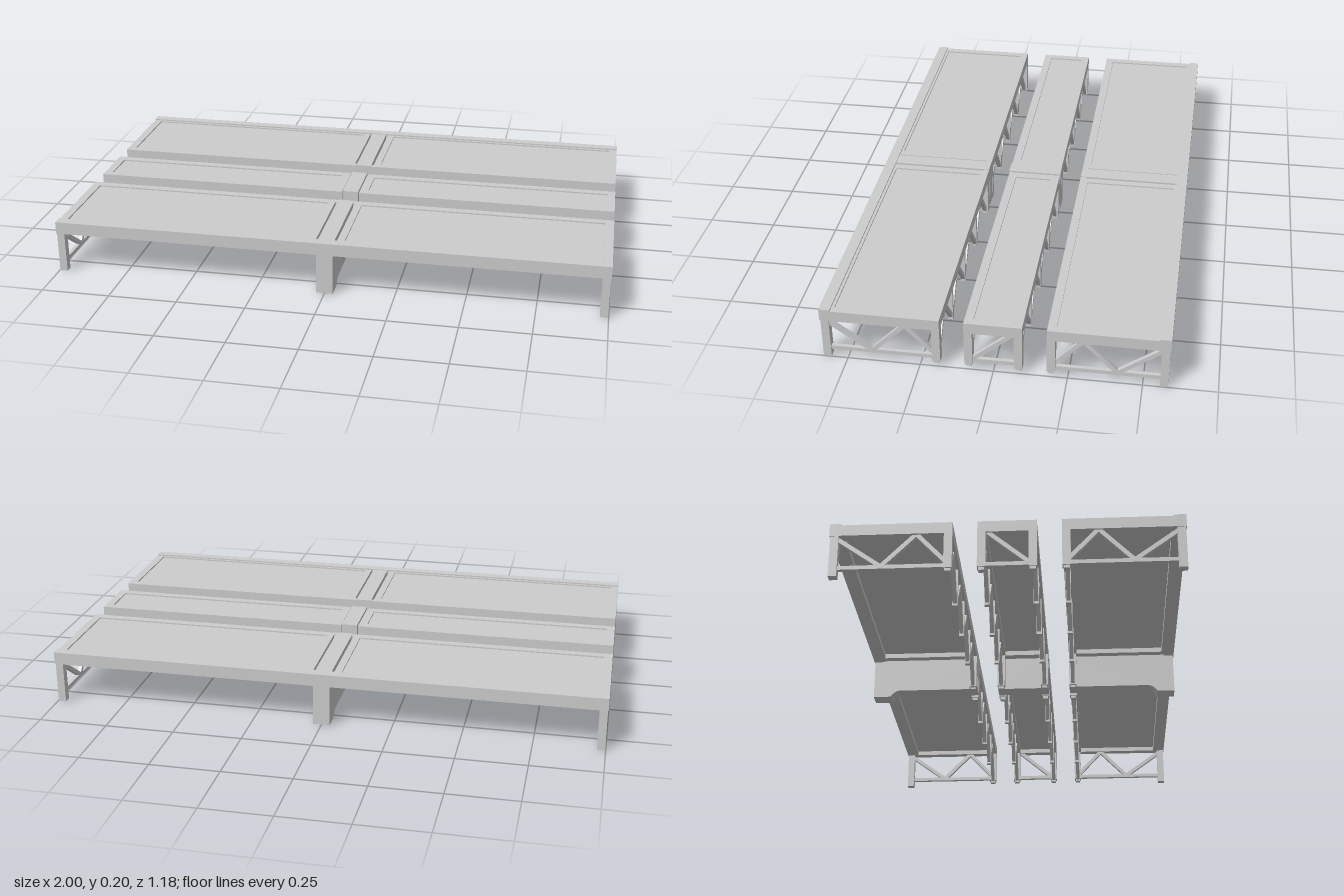
import * as THREE from 'three';

const concrete = new THREE.MeshStandardMaterial({ color: 0xcccccc });
concrete.name = 'pale grey concrete';

// Box given by its minimum and maximum on each axis
function box(parent, name, x0, x1, y0, y1, z0, z1) {
  const g = new THREE.BoxGeometry(Math.abs(x1 - x0), y1 - y0, Math.abs(z1 - z0));
  const m = new THREE.Mesh(g, concrete);
  m.position.set((x0 + x1) / 2, (y0 + y1) / 2, (z0 + z1) / 2);
  m.name = name;
  parent.add(m);
}

// Square bar between two points
function bar(parent, name, a, b, size) {
  const p = new THREE.Vector3(...a), q = new THREE.Vector3(...b);
  const m = new THREE.Mesh(new THREE.BoxGeometry(size, size, p.distanceTo(q)), concrete);
  m.position.copy(p).add(q).multiplyScalar(0.5);
  m.lookAt(q);
  m.name = name;
  parent.add(m);
}

// Zigzag truss along x under one deck edge
function longTruss(parent, z, s) {
  const nodes = [0.975, 0.745, 0.515, 0.285, 0.055];
  nodes.forEach((x, i) => {
    if (i > 0 && i < 4) box(parent, 'trussUpright', s * (x - 0.008), s * (x + 0.008), 0.01, 0.155, z - 0.009, z + 0.009);
    if (i === 4) return;
    const top = x - 0.115;
    bar(parent, 'trussDiagonal', [s * x, 0.02, z], [s * top, 0.157, z], 0.014);
    bar(parent, 'trussDiagonal', [s * top, 0.157, z], [s * nodes[i + 1], 0.02, z], 0.014);
  });
}

// Post with a small foot
function post(parent, s, x, z) {
  box(parent, 'post', s * (x - 0.015), s * (x + 0.015), 0.02, 0.155, z - 0.014, z + 0.014);
  box(parent, 'postFoot', s * (x - 0.01), s * (x + 0.01), 0.01, 0.02, z - 0.01, z + 0.01);
}

// Truss along z closing the end of a deck; path holds [z, y] pairs
function endTruss(parent, x, path) {
  for (let i = 1; i < path.length; i++) {
    bar(parent, 'endDiagonal', [x, path[i - 1][1], path[i - 1][0]], [x, path[i][1], path[i][0]], 0.015);
  }
  const z0 = path[0][0], z1 = path[path.length - 1][0];
  box(parent, 'endBottomChord', x - 0.007, x + 0.007, 0.026, 0.04, z0, z1);
}

// Half deck: recessed slab inside raised edge beams
function halfDeck(parent, s, gap, z0, z1, outerWidth) {
  const inner = 0.03;
  box(parent, 'deckSlab', s * 0.06, s * 0.975, 0.168, 0.185, z0 + 0.01, z1 - 0.01);
  box(parent, 'endBeam', s * 0.97, s * 1, 0.15, 0.19, z0, z1);
  box(parent, 'jointBeam', s * gap, s * 0.065, 0.15, 0.19, z0, z1);
  box(parent, 'innerEdgeBeam', s * 0.065, s * 0.97, 0.15, 0.19, z0, z0 + inner);
  box(parent, 'outerEdgeBeam', s * 0.065, s * 0.97, 0.15, 0.19, z1 - outerWidth, z1);
}

// Outer deck built at +z and turned round for the back
function outerDeck(name) {
  const g = new THREE.Group();
  g.name = name;
  for (const s of [-1, 1]) {
    halfDeck(g, s, 0.038, 0.18, 0.56, 0.02);
    longTruss(g, 0.194, s);
    post(g, s, 0.985, 0.194);
    post(g, s, 0.052, 0.194);
    box(g, 'cornerLeg', s * 0.97, s * 0.998, 0, 0.155, 0.557, 0.585);
    endTruss(g, s * 0.985, [[0.56, 0.14], [0.415, 0.035], [0.3, 0.153], [0.195, 0.04]]);
  }
  box(g, 'outerBeam', -1, 1, 0.15, 0.195, 0.55, 0.588);
  box(g, 'centreBeam', -0.03, 0.03, 0.15, 0.192, 0.18, 0.55);
  box(g, 'innerTie', -0.04, 0.04, 0.15, 0.19, 0.18, 0.2);

  // Central pier wall with a deeper outer end
  const wall = new THREE.Shape();
  wall.moveTo(-0.585, 0);
  wall.lineTo(-0.52, 0);
  wall.quadraticCurveTo(-0.506, 0.022, -0.485, 0.025);
  wall.lineTo(-0.18, 0.025);
  wall.lineTo(-0.18, 0.152);
  wall.lineTo(-0.585, 0.152);
  const geo = new THREE.ExtrudeGeometry(wall, { depth: 0.06, bevelEnabled: false, curveSegments: 6 });
  geo.rotateY(Math.PI / 2);
  geo.translate(-0.03, 0, 0);
  const pier = new THREE.Mesh(geo, concrete);
  pier.name = 'pierWall';
  g.add(pier);
  return g;
}

// Narrow middle deck carried by a truss on both edges
function middleDeck() {
  const g = new THREE.Group();
  g.name = 'middleDeck';
  for (const s of [-1, 1]) {
    halfDeck(g, s, 0.033, -0.098, 0.098, 0.03);
    for (const z of [-0.084, 0.084]) {
      longTruss(g, z, s);
      post(g, s, 0.985, z);
      post(g, s, 0.052, z);
    }
    endTruss(g, s * 0.985, [[0.075, 0.035], [-0.065, 0.153]]);
    box(g, 'endBottomChord', s * 0.978, s * 0.992, 0.026, 0.04, -0.075, 0.075);
  }
  box(g, 'centreBeam', -0.03, 0.03, 0.15, 0.194, -0.1, 0.1);
  box(g, 'pierWall', -0.03, 0.03, 0.022, 0.152, -0.098, 0.098);
  return g;
}

export function createModel() {
  const model = new THREE.Group();
  model.name = 'platform';
  const back = outerDeck('backDeck');
  back.rotation.y = Math.PI;
  model.add(outerDeck('frontDeck'), middleDeck(), back);
  return model;
}
